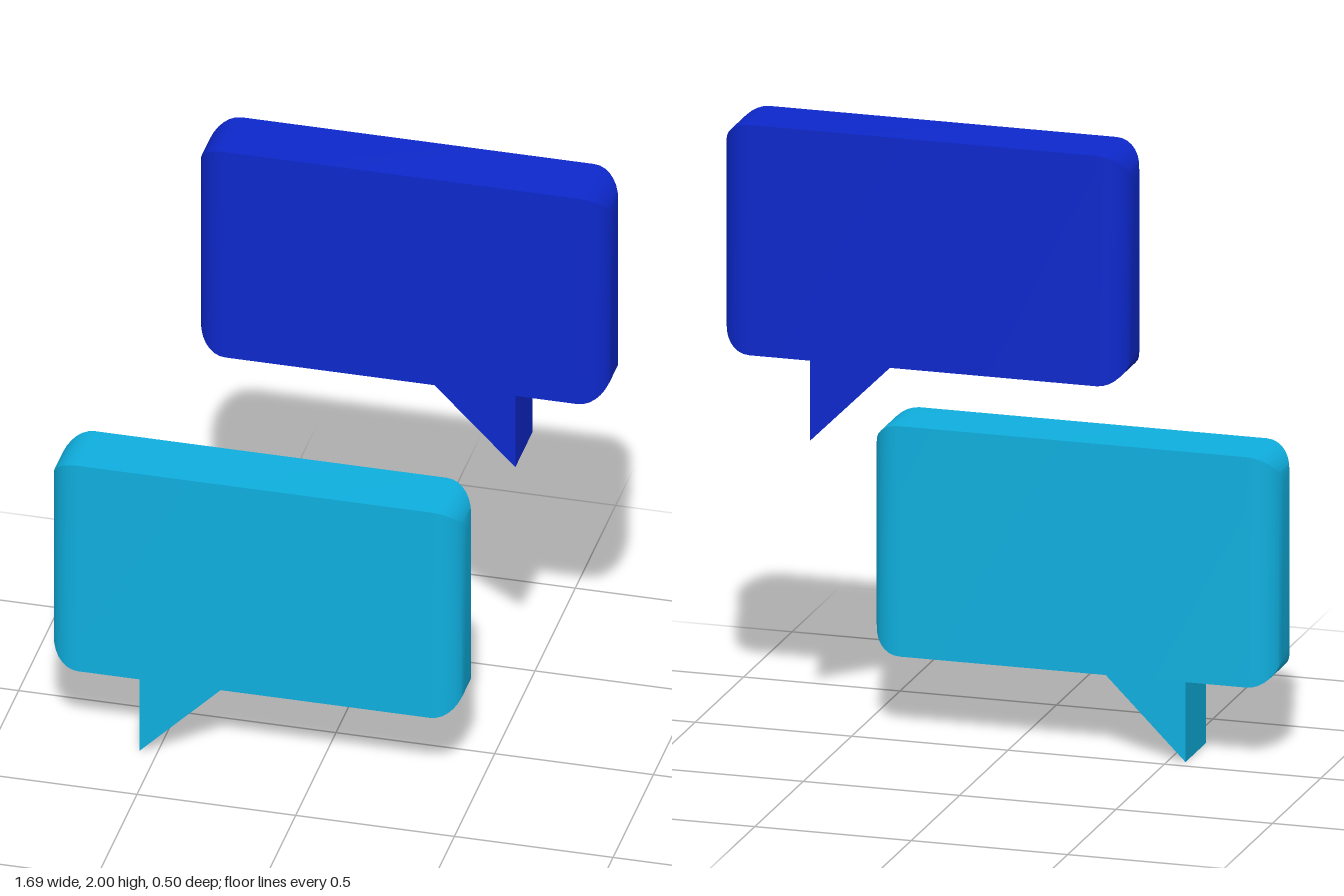
import * as THREE from 'three';
import { toCreasedNormals } from 'three/addons/utils/BufferGeometryUtils.js';

const WIDTH = 1.3, HEIGHT = 0.735, DEPTH = 0.21;
const ROUND = 0.095, ROUND_Z = 0.085, STEPS = 8;
const TAIL = 0.255;

// Slab whose rectangular section shrinks in height and depth towards both ends
function bodyGeometry() {
  const segments = 2 * STEPS + 1;
  const geometry = new THREE.BoxGeometry(1, 1, 1, segments, 1, 1);
  const p = geometry.attributes.position;
  for (let i = 0; i < p.count; i++) {
    const station = Math.round((p.getX(i) + 0.5) * segments);
    const side = station <= STEPS ? -1 : 1;
    const step = side < 0 ? station : segments - station;
    const a = (step / STEPS) * Math.PI / 2;
    const inset = 1 - Math.sin(a);
    p.setXYZ(i,
      side * (WIDTH / 2 - ROUND * (1 - Math.cos(a))),
      Math.sign(p.getY(i)) * (HEIGHT / 2 - ROUND * inset),
      Math.sign(p.getZ(i)) * (DEPTH / 2 - ROUND_Z * inset));
  }
  return toCreasedNormals(geometry, 0.5);
}

// Right-angled pointer hanging below the slab
function tailGeometry() {
  const shape = new THREE.Shape([
    new THREE.Vector2(0, 0),
    new THREE.Vector2(0, -TAIL),
    new THREE.Vector2(TAIL, 0),
  ]);
  const geometry = new THREE.ExtrudeGeometry(shape, { depth: DEPTH, bevelEnabled: false });
  return geometry.translate(0, 0, -DEPTH / 2);
}

function speechBubble(name, color) {
  const material = new THREE.MeshStandardMaterial({ color });
  const bubble = new THREE.Group();
  bubble.name = name;

  const body = new THREE.Mesh(bodyGeometry(), material);
  body.name = name + 'Body';
  body.position.set(-0.195, TAIL + HEIGHT / 2, 0.145);

  const tail = new THREE.Mesh(tailGeometry(), material);
  tail.name = name + 'Tail';
  tail.position.set(-0.555, TAIL, 0.145);

  bubble.add(body, tail);
  return bubble;
}

export function createModel() {
  const model = new THREE.Group();
  model.name = 'speechBubbles';

  const lower = speechBubble('lowerBubble', 0x0fafdf);

  // The upper bubble is the same shape turned to face the other way
  const upper = speechBubble('upperBubble', 0x0d28cc);
  upper.rotation.y = Math.PI;
  upper.position.y = 1.01;

  model.add(lower, upper);
  return model;
}
